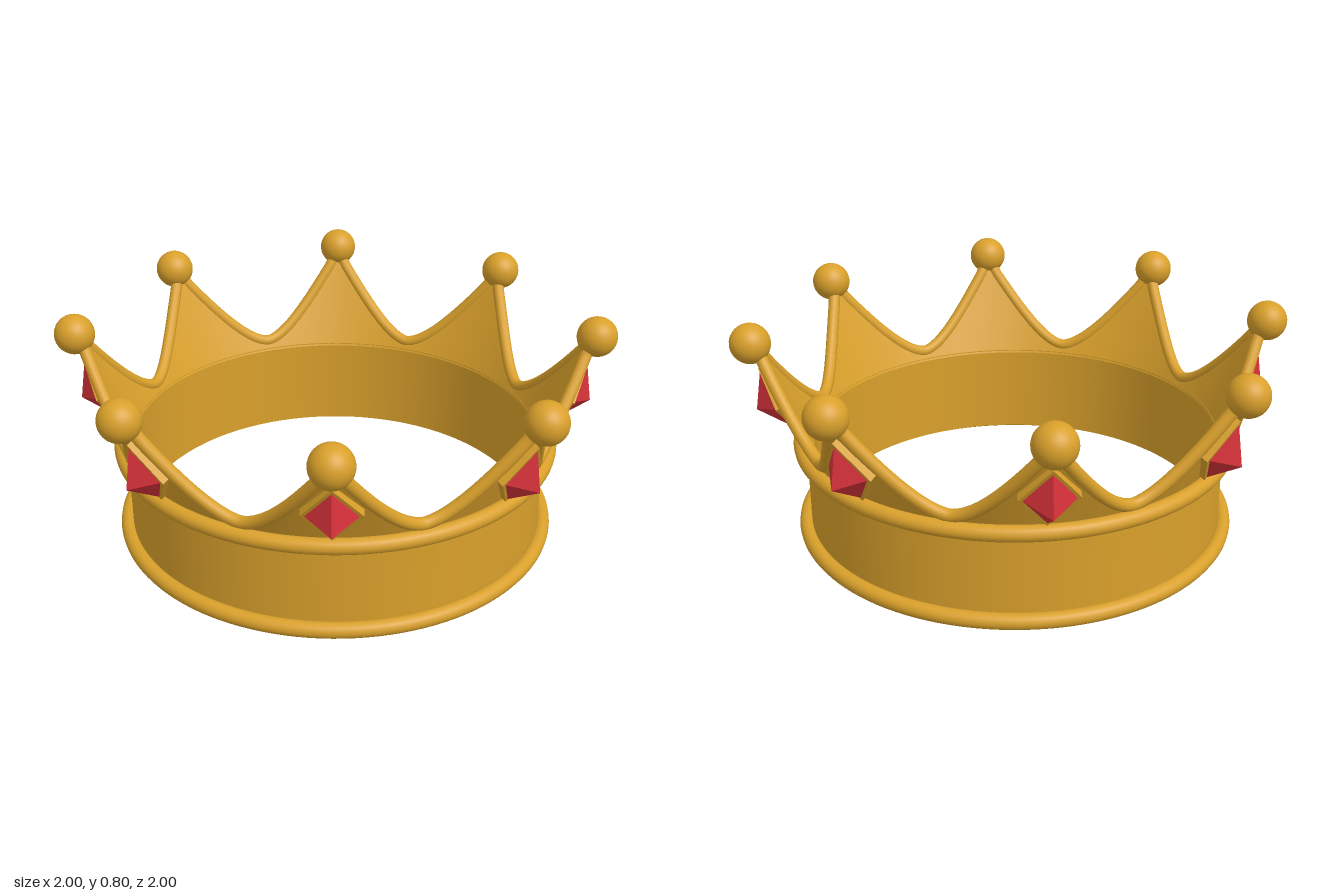
import * as THREE from 'three';

const POINTS = 8;
const WALL_BASE = 0.36, WALL_R = 0.757, SLOPE = 0.46, THICK = 0.025;
const LEAN = Math.atan(SLOPE);

const gold = new THREE.MeshStandardMaterial({ color: 0xd9a02b });
const goldThin = new THREE.MeshStandardMaterial({ color: 0xd9a02b, side: THREE.DoubleSide });
const red = new THREE.MeshStandardMaterial({ color: 0xd8323a, flatShading: true });

// Outer radius of the flared wall at a height
const wallRadius = (y) => WALL_R + SLOPE * (y - WALL_BASE);

// Height of the scalloped edge: pointed peaks, rounded valleys
function edgeHeight(angle) {
  const step = (Math.PI * 2) / POINTS;
  const u = Math.abs(angle / step - Math.round(angle / step)) * 2;
  return 0.395 + 0.315 * Math.pow(1 - u, 1.7);
}

function add(parent, name, geometry, material) {
  const mesh = new THREE.Mesh(geometry, material);
  mesh.name = name;
  parent.add(mesh);
  return mesh;
}

// Cone whose rows are stretched up to the scalloped edge
function wallSurface(inset) {
  const h = 0.35;
  const g = new THREE.CylinderGeometry(wallRadius(WALL_BASE + h) - inset, WALL_R - inset, h, 256, 8, true);
  const p = g.attributes.position;
  for (let i = 0; i < p.count; i++) {
    const a = Math.atan2(p.getX(i), p.getZ(i));
    const t = p.getY(i) / h + 0.5;
    const y = WALL_BASE + t * (edgeHeight(a) - WALL_BASE);
    const r = wallRadius(y) - inset;
    p.setXYZ(i, r * Math.sin(a), y, r * Math.cos(a));
  }
  return g;
}

export function createModel() {
  const crown = new THREE.Group();
  crown.name = 'crown';

  // Plain band with a rolled ring at each edge
  const section = [[0.735, 0.02], [0.76, 0.02], [0.76, 0.37], [0.735, 0.37]];
  const wallPairs = [[0, 1], [1, 2], [2, 3], [3, 0]];
  const band = new THREE.Group();
  band.name = 'band';
  crown.add(band);
  const faceNames = ['bandBottom', 'bandOutside', 'bandTop', 'bandInside'];
  wallPairs.forEach(([a, b], i) => {
    const pts = [section[a], section[b]].map(([r, y]) => new THREE.Vector2(r, y));
    add(band, faceNames[i], new THREE.LatheGeometry(pts, 128), goldThin);
  });
  for (const [name, y] of [['lowerRing', 0.03], ['upperRing', 0.355]]) {
    const ring = add(crown, name, new THREE.TorusGeometry(0.777, 0.028, 16, 128), gold);
    ring.rotation.x = Math.PI / 2;
    ring.position.y = y;
  }

  // Flared wall of points
  add(crown, 'outerWall', wallSurface(0), goldThin);
  add(crown, 'innerWall', wallSurface(THICK), goldThin);

  // Round rail along the scalloped edge
  const path = [];
  const n = POINTS * 20;
  for (let i = 0; i < n; i++) {
    const a = (i / n) * Math.PI * 2;
    const y = edgeHeight(a);
    const r = wallRadius(y) - THICK / 2;
    path.push(new THREE.Vector3(r * Math.sin(a), y, r * Math.cos(a)));
  }
  const curve = new THREE.CatmullRomCurve3(path, true);
  add(crown, 'edgeRail', new THREE.TubeGeometry(curve, 480, 0.022, 12, true), gold);

  // Shared shapes for the point ornaments
  const ballGeo = new THREE.SphereGeometry(0.072, 32, 20);
  const diamond = new THREE.Shape();
  diamond.moveTo(0, -0.136);
  diamond.lineTo(0.098, 0);
  diamond.lineTo(0, 0.136);
  diamond.lineTo(-0.098, 0);
  diamond.closePath();
  const settingGeo = new THREE.ExtrudeGeometry(diamond, { depth: 0.034, bevelEnabled: false });
  settingGeo.translate(0, 0, -0.012);
  const gemGeo = new THREE.ConeGeometry(1, 1, 4, 1);
  gemGeo.translate(0, 0.5, 0);
  gemGeo.rotateX(Math.PI / 2);
  gemGeo.scale(0.084, 0.12, 0.08);

  // Ball, setting and gem on each point
  for (let i = 0; i < POINTS; i++) {
    const point = new THREE.Group();
    point.name = 'pointOrnament' + (i + 1);
    point.rotation.y = (i / POINTS) * Math.PI * 2;
    crown.add(point);

    add(point, 'ball', ballGeo, gold).position.set(0, 0.73, 0.927);

    const jewel = new THREE.Group();
    jewel.name = 'jewel';
    jewel.position.set(0, 0.522, wallRadius(0.522));
    jewel.rotation.x = LEAN;
    point.add(jewel);
    add(jewel, 'setting', settingGeo, gold);
    add(jewel, 'gem', gemGeo, red).position.z = 0.023;
  }
  return crown;
}
